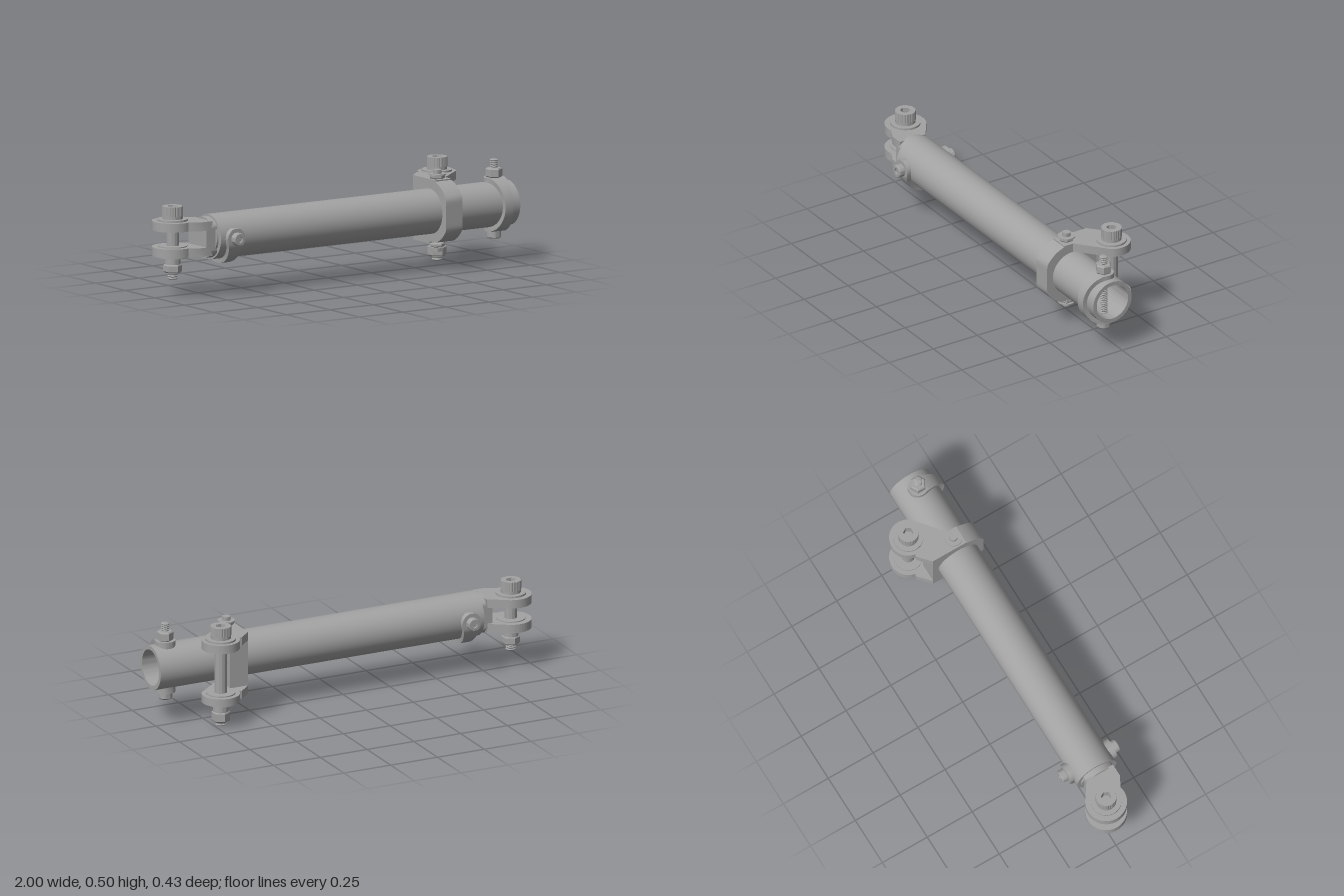
import * as THREE from 'three';
import { toCreasedNormals } from 'three/addons/utils/BufferGeometryUtils.js';

const steel = new THREE.MeshStandardMaterial({ color: 0xa2a2a2 });
steel.name = 'steel grey';
const CY = 0.278, CZ = 0.056; // tube axis
const RAD = Math.PI / 180;

function add(parent, name, geo) {
  const mesh = new THREE.Mesh(toCreasedNormals(geo, 0.6), steel);
  mesh.name = name;
  parent.add(mesh);
  return mesh;
}

function group(parent, name, x, y, z) {
  const g = new THREE.Group();
  g.name = name;
  g.position.set(x, y, z);
  parent.add(g);
  return g;
}

// Solid disc or prism between two heights
function disc(parent, name, r, y0, y1, sides = 36) {
  const geo = new THREE.CylinderGeometry(r, r, y1 - y0, sides);
  geo.translate(0, (y0 + y1) / 2, 0);
  return add(parent, name, geo);
}

function turned(parent, name, points, sides = 36) {
  return add(parent, name, new THREE.LatheGeometry(points.map(p => new THREE.Vector2(...p)), sides));
}

// Chamfered hex nut
function nut(parent, name, r, y0, y1) {
  const c = 0.006;
  return turned(parent, name, [[0, y0], [r - c, y0], [r, y0 + c], [r, y1 - c], [r - c, y1], [0, y1]], 6);
}

// Threaded rod with a zigzag profile
function thread(parent, name, r, y0, y1) {
  const pts = [[0, y0], [r * 0.75, y0]];
  const n = Math.max(2, Math.round((y1 - y0) / 0.01));
  for (let i = 0; i < n; i++) {
    const y = y0 + (y1 - y0) * i / n, s = (y1 - y0) / n;
    pts.push([r * 0.85, y + s * 0.1], [r, y + s * 0.4], [r, y + s * 0.6], [r * 0.85, y + s * 0.9]);
  }
  pts.push([r * 0.75, y1], [0, y1]);
  return turned(parent, name, pts, 20);
}

// Plate lying flat between two heights, outline given as (x, -z)
function plate(parent, name, shape, y0, y1) {
  const geo = new THREE.ExtrudeGeometry(shape, { depth: y1 - y0, bevelEnabled: false, curveSegments: 32 });
  geo.rotateX(-Math.PI / 2);
  geo.translate(0, y0, 0);
  return add(parent, name, geo);
}

// Knurled cap head with a hex socket
function capHead(parent, r, y0, y1) {
  const s = new THREE.Shape();
  for (let i = 0; i < 72; i++) {
    const a = i * 5 * RAD, q = i % 3 ? r : r * 0.95;
    s[i ? 'lineTo' : 'moveTo'](q * Math.cos(a), q * Math.sin(a));
  }
  s.closePath();
  const hole = new THREE.Path();
  for (let i = 0; i < 6; i++) {
    hole[i ? 'lineTo' : 'moveTo'](r * 0.5 * Math.cos(-i * 60 * RAD), r * 0.5 * Math.sin(-i * 60 * RAD));
  }
  hole.closePath();
  s.holes.push(hole);
  plate(parent, 'capHead', s, y0 + 0.015, y1);
  disc(parent, 'capHeadBase', r * 0.97, y0, y0 + 0.016);
}

// Large clevis bolt: lo and hi are the outer faces of the two lugs
function clevisBolt(parent, name, x, z, lo, hi, lug, nutBottom, tip) {
  const g = group(parent, name, x, 0, z);
  capHead(g, 0.05, hi + 0.008, hi + 0.07);
  disc(g, 'topWasher', 0.073, hi, hi + 0.009);
  disc(g, 'shank', 0.03, lo - 0.02, hi + 0.01);
  disc(g, 'upperBushing', 0.07, hi - lug - 0.005, hi - lug + 0.001);
  disc(g, 'lowerBushing', 0.07, lo + lug - 0.001, lo + lug + 0.005);
  disc(g, 'bottomWasher', 0.073, lo - 0.009, lo);
  const mid = lo - 0.009 - (lo - 0.009 - nutBottom) * 0.45;
  disc(g, 'nutCollar', 0.038, mid, lo - 0.008);
  nut(g, 'lockNut', 0.045, nutBottom, mid);
  thread(g, 'threadedTip', 0.025, tip, nutBottom + 0.01);
}

// C-shaped saddle strap: narrow in the middle, rounded at its two flat bolt pads
function strapGeometry() {
  const half = [];
  for (let a = 0; a <= 70; a += 7) {
    const c = Math.cos(a * RAD), s = Math.sin(a * RAD);
    half.push([0.132 * c, 0.132 * s, 0.109 * c, 0.109 * s]);
  }
  for (const d of [0.03, 0.015, 0, -0.015, -0.027, -0.037, -0.044, -0.048]) {
    half.push([d, 0.13, d, Math.sqrt(0.109 ** 2 - d * d)]);
  }
  const lower = half.slice(1).reverse().map(([d, h, e, k]) => [d, -h, e, -k]);
  const stations = [...lower, ...half];
  const pos = [], idx = [];
  stations.forEach(([d, h, e, k], j) => {
    const w = d > 0 ? 0.05 - 0.027 * d / 0.132 : Math.sqrt(0.0025 - d * d);
    pos.push(-w, h, d, w, h, d, w, k, e, -w, k, e);
    if (j === stations.length - 1) return;
    for (let i = 0; i < 4; i++) {
      const a = 4 * j + i, b = 4 * j + (i + 1) % 4;
      idx.push(a, b, b + 4, a, b + 4, a + 4);
    }
  });
  const n = pos.length / 3 - 4;
  idx.push(2, 1, 0, 3, 2, 0, n, n + 1, n + 2, n, n + 2, n + 3);
  const geo = new THREE.BufferGeometry();
  geo.setAttribute('position', new THREE.Float32BufferAttribute(pos, 3));
  geo.setIndex(idx);
  geo.computeVertexNormals();
  return geo;
}

export function createModel() {
  const model = new THREE.Group();
  model.name = 'tubularStrut';

  // Hollow main tube
  const tube = group(model, 'mainTube', 0, CY, CZ);
  tube.rotation.z = -Math.PI / 2;
  turned(tube, 'tubeWall', [[0.089, 1], [0.089, -0.73], [0.109, -0.73], [0.109, 1], [0.089, 1]], 64);
  turned(tube, 'endPlug', [[0, -0.74], [0.0895, -0.74], [0.0895, -0.57], [0.07, -0.57], [0.07, -0.7], [0, -0.7]], 48);

  // Forked end: two eye lugs, web and flange
  const fork = group(model, 'forkEnd', 0, 0, 0);
  const lug = new THREE.Shape();
  lug.moveTo(-0.76, -0.13);
  lug.lineTo(-0.76, 0.02);
  lug.lineTo(-0.775, 0.03);
  lug.absarc(-0.9, -0.005, 0.1, 50 * RAD, 285 * RAD, false);
  lug.lineTo(-0.82, -0.13);
  plate(fork, 'upperLug', lug, 0.323, 0.366);
  plate(fork, 'lowerLug', lug, 0.198, 0.241);
  const web = new THREE.BoxGeometry(0.035, 0.168, 0.15);
  web.translate(-0.7725, 0.282, 0.055);
  add(fork, 'web', web);
  const fl = new THREE.Shape();
  for (let a = 0; a < 360; a += 6) {
    const u = THREE.MathUtils.clamp(0.1 * Math.cos(a * RAD), -0.077, 0.077);
    fl[a ? 'lineTo' : 'moveTo'](u, 0.1 * Math.sin(a * RAD));
  }
  const flange = new THREE.ExtrudeGeometry(fl, { depth: 0.035, bevelEnabled: false });
  flange.rotateY(Math.PI / 2);
  flange.translate(-0.762, CY, CZ);
  add(fork, 'flange', flange);
  clevisBolt(model, 'forkBolt', -0.9, 0.005, 0.198, 0.366, 0.043, 0.115, 0.082);

  // Saddle strap and short screws at the fork end
  const leftStrap = group(model, 'forkStrap', -0.653, CY, CZ);
  leftStrap.rotation.x = Math.PI / 2;
  add(leftStrap, 'strap', strapGeometry());
  for (const side of [1, -1]) {
    const screw = group(leftStrap, 'strapScrew', 0, 0, 0);
    if (side < 0) screw.rotation.x = Math.PI;
    turned(screw, 'screwHead', [[0, 0.129], [0.031, 0.129], [0.031, 0.156], [0.028, 0.16],
      [0.015, 0.16], [0.015, 0.15], [0, 0.15]], 28);
    thread(screw, 'screwThread', 0.016, 0.05, 0.13);
  }

  // Saddle strap and through bolt at the open end
  const rightStrap = group(model, 'openEndStrap', 0.922, CY, CZ);
  add(rightStrap, 'strap', strapGeometry());
  thread(rightStrap, 'throughBolt', 0.02, -0.14, 0.217);
  nut(rightStrap, 'topNut', 0.04, 0.129, 0.175);
  turned(rightStrap, 'boltHead', [[0, -0.165], [0.03, -0.165], [0.034, -0.16], [0.034, -0.129], [0, -0.129]], 28);

  // Clamp ring body around the tube
  const clamp = group(model, 'clamp', 0, 0, 0);
  const body = new THREE.Shape();
  body.moveTo(0.14, 0.155);
  body.lineTo(-0.045, 0.155);
  for (let a = 106; a <= 254; a += 7.4) {
    body.lineTo(Math.max(-0.141, 0.16 * Math.cos(a * RAD)), 0.155 * Math.sin(a * RAD));
  }
  body.lineTo(0.14, -0.155);
  const bore = new THREE.Path();
  bore.absarc(0, 0, 0.108, 0, Math.PI * 2, true);
  body.holes.push(bore);
  const bodyGeo = new THREE.ExtrudeGeometry(body, { depth: 0.095, bevelEnabled: false, curveSegments: 40 });
  bodyGeo.rotateY(Math.PI / 2);
  bodyGeo.translate(0.55, CY - 0.001, CZ);
  add(clamp, 'clampBody', bodyGeo);

  // Clamp eye lugs, swept diagonally to the back
  const eye = new THREE.Shape();
  eye.moveTo(0.55, -0.05);
  eye.lineTo(0.645, -0.05);
  eye.absarc(0.715, 0.123, 0.092, -35 * RAD, 170 * RAD, false);
  eye.lineTo(0.61, 0.14);
  eye.lineTo(0.55, 0.085);
  plate(clamp, 'upperLug', eye, 0.39, 0.4325);
  plate(clamp, 'lowerLug', eye, 0.1215, 0.161);
  clevisBolt(model, 'clampBolt', 0.715, -0.123, 0.1215, 0.4325, 0.041, 0.022, 0.0);

  // Small clamp screws above and below the ring
  for (const side of [1, -1]) {
    const s = group(clamp, 'clampScrew', 0.595, CY - 0.001, CZ);
    if (side < 0) s.rotation.x = Math.PI;
    nut(s, 'screwNut', 0.036, 0.154, 0.177);
    disc(s, 'screwWasher', 0.042, 0.174, 0.179);
    disc(s, 'screwTip', 0.02, 0.178, 0.198, 24);
  }
  return model;
}
